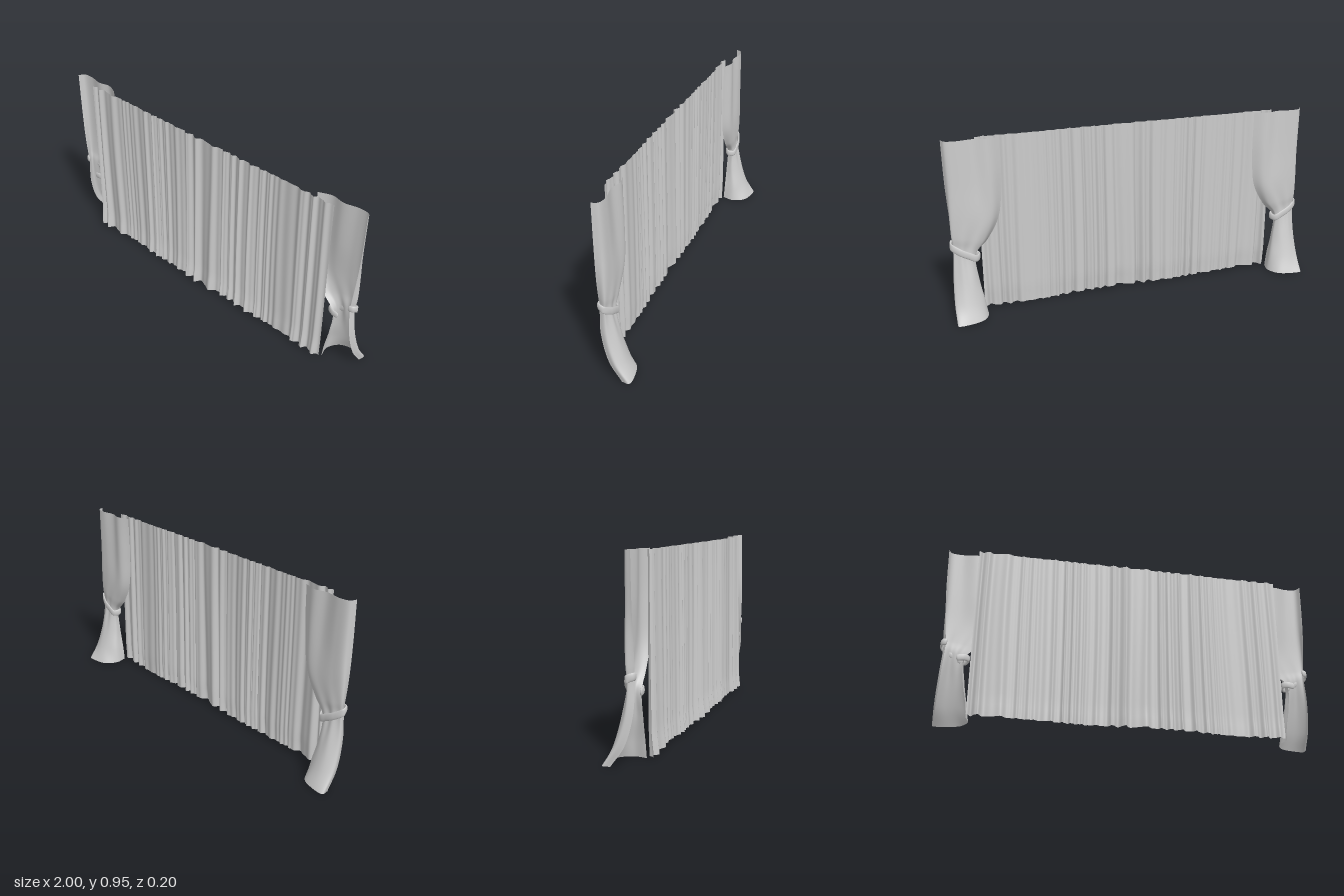
import * as THREE from 'three';

const cloth = new THREE.MeshStandardMaterial({ color: 0xcccccc, side: THREE.DoubleSide });

// Smooth grid surface: rule(u, v) returns the point, u and v run 0..1
function surface(name, nu, nv, rule) {
  const geo = new THREE.PlaneGeometry(1, 1, nu, nv);
  const pos = geo.attributes.position;
  for (let j = 0, i = 0; j <= nv; j++) {
    for (let k = 0; k <= nu; k++, i++) {
      const p = rule(k / nu, j / nv);
      pos.setXYZ(i, p.x, p.y, p.z);
    }
  }
  geo.computeVertexNormals();
  const mesh = new THREE.Mesh(geo, cloth);
  mesh.name = name;
  return mesh;
}

const V = (x, y, z) => new THREE.Vector3(x, y, z);
const spline = (pts) => new THREE.CatmullRomCurve3(pts, false, 'centripetal');

// Wide gathered curtain with uneven vertical pleats
function makePleatedCurtain() {
  return surface('pleatedCurtain', 480, 30, (u, v) => {
    const x = -0.84 + 1.67 * u;
    const y = 0.955 - 0.94 * v;
    const phase = 2 * Math.PI * (23 * u + 0.35 * Math.sin(17 * u + 1) + 0.2 * Math.sin(41 * u))
      + 0.35 * Math.sin(3 * v + 9 * u);
    const depth = 0.55 + 0.25 * Math.sin(11 * u + 2) + 0.2 * Math.sin(29 * u);
    const wave = (0.5 + 0.5 * Math.sin(phase)) * depth + 0.1 * Math.sin(2.3 * phase);
    const room = 0.019 + 0.012 * v;
    const flare = 0.01 * THREE.MathUtils.smoothstep(v, 0.88, 1);
    return V(
      x + 0.005 * depth * Math.cos(phase) * Math.min(1, 20 * u, 20 * (1 - u)),
      y + 0.004 * v * Math.sin(13 * u),
      0.06 + room * wave + flare * (0.3 + 0.7 * wave)
    );
  });
}

// Drape sections from top to hem: [outer y, inner y, then x, z pairs from outer to inner edge]
const sections = [
  [0.96, 0.955, 1, 0.045, 0.985, 0.015, 0.93, 0.006, 0.85, 0.02, 0.78, 0.006, 0.71, 0.03],
  [0.72, 0.72, 0.995, 0.047, 0.98, 0.012, 0.92, 0.003, 0.84, 0.012, 0.77, 0.003, 0.712, 0.035],
  [0.56, 0.53, 0.985, 0.05, 0.985, 0.012, 0.92, 0, 0.84, 0.002, 0.775, 0.005, 0.735, 0.038],
  [0.46, 0.41, 0.975, 0.05, 0.985, 0.015, 0.94, 0.003, 0.88, 0.002, 0.825, 0.01, 0.8, 0.04],
  [0.41, 0.33, 0.97, 0.048, 0.98, 0.02, 0.945, 0.008, 0.905, 0.006, 0.87, 0.012, 0.872, 0.045],
  [0.25, 0.2, 0.98, 0.045, 0.99, 0.01, 0.95, -0.02, 0.9, -0.02, 0.86, 0.01, 0.868, 0.05],
  [0.1, 0.09, 0.99, 0.005, 0.998, -0.035, 0.95, -0.06, 0.89, -0.052, 0.84, -0.01, 0.848, 0.052],
  [0.005, 0.01, 0.995, -0.06, 0.998, -0.098, 0.935, -0.1, 0.86, -0.075, 0.825, -0.01, 0.84, 0.055],
];

function makeDrape() {
  const columns = [0, 1, 2, 3, 4, 5].map((c) => spline(sections.map((s) =>
    V(s[2 + 2 * c], THREE.MathUtils.lerp(s[0], s[1], c / 5), s[3 + 2 * c]))));
  const rows = [];
  const nv = 56;
  for (let j = 0; j <= nv; j++) rows.push(spline(columns.map((c) => c.getPoint(j / nv))));
  return surface('drape', 40, nv, (u, v) => {
    const p = rows[Math.round(v * nv)].getPoint(u);
    // soft gathers radiating from the tie
    const gather = Math.exp(-(((p.y - 0.33) / 0.13) ** 2));
    p.z += 0.003 * gather * Math.sin(u * 26) * Math.sin(Math.PI * u);
    return p;
  });
}

// Flat padded strap wrapped around the back, with both ends showing in front
function makeTieback() {
  const path = spline([
    V(0.963, 0.41, 0.052), V(0.984, 0.412, 0.046), V(0.99, 0.402, 0.02), V(0.95, 0.372, 0.001),
    V(0.905, 0.347, -0.001), V(0.865, 0.326, 0.006), V(0.848, 0.333, 0.036), V(0.872, 0.334, 0.053),
    V(0.912, 0.326, 0.054),
  ]);
  return surface('tieback', 72, 16, (u, v) => {
    const t = path.getTangent(u);
    const out = V(t.z, 0, -t.x).normalize();
    const up = V().crossVectors(out, t).normalize();
    const a = v * Math.PI * 2;
    const size = Math.sqrt(Math.max(0, 1 - (2 * u - 1) ** 40));
    return path.getPoint(u)
      .addScaledVector(out, 0.006 * size * Math.cos(a))
      .addScaledVector(up, 0.018 * size * Math.sin(a));
  });
}

export function createModel() {
  const model = new THREE.Group();
  model.name = 'curtains';
  model.add(makePleatedCurtain());
  for (const side of [1, -1]) {
    const tied = new THREE.Group();
    tied.name = side > 0 ? 'leftTiedDrape' : 'rightTiedDrape';
    tied.add(makeDrape(), makeTieback());
    tied.scale.x = side;
    model.add(tied);
  }
  return model;
}
